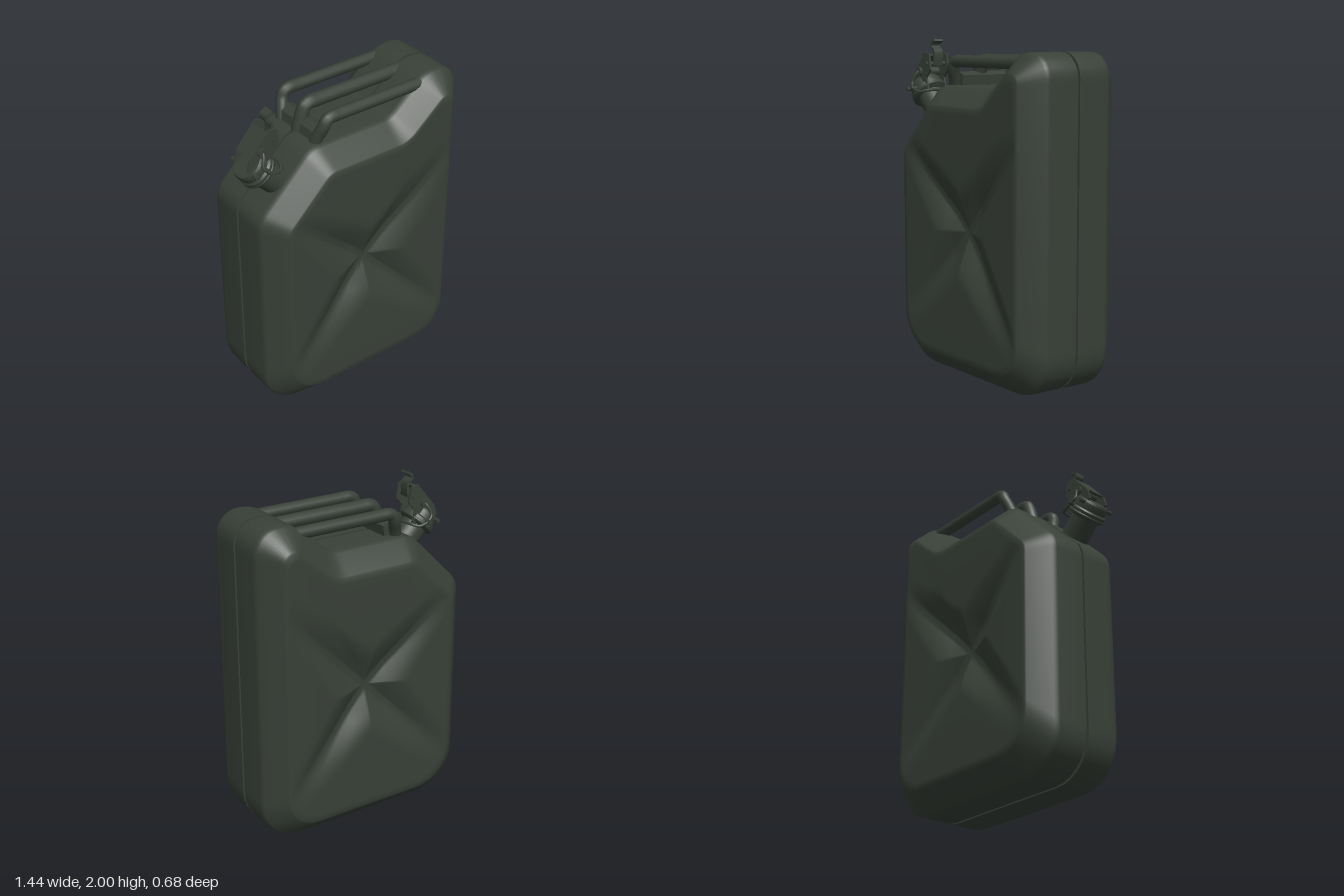
import * as THREE from 'three';
import { toCreasedNormals } from 'three/addons/utils/BufferGeometryUtils.js';

const V2 = (x, y) => new THREE.Vector2(x, y);
const V3 = (x, y, z) => new THREE.Vector3(x, y, z);

// Side outline corners, counter-clockwise: x, y, outer radius, inset radius
const CORNERS = [
  [-0.66, 0, 0.25, 0.24], [0.72, 0, 0.25, 0.2], [0.72, 1.935, 0.14, 0.05], [0.48, 1.935, 0.2, 0.05],
  [0.24, 1.73, 0.1, 0.2], [-0.31, 1.73, 0.15, 0.1], [-0.66, 1.38, 0.15, 0.1],
];
const INSET = 0.12, HALF = 0.34;
const CENTRE = V2(0.033, 0.88);
const ARMS = [[-0.5, 1.38], [0.5, 1.34], [-0.5, 0.33], [0.56, 0.33]]
  .map(([x, y]) => V2(x, y).sub(CENTRE).normalize());

// Move every edge inwards and return the new corners
function insetCorners(points, amount) {
  const n = points.length;
  return points.map((p, i) => {
    const a = p.clone().sub(points[(i + n - 1) % n]).normalize();
    const b = points[(i + 1) % n].clone().sub(p).normalize();
    const na = V2(-a.y, a.x), nb = V2(-b.y, b.x);
    return p.clone().addScaledVector(na.clone().add(nb), amount / (1 + na.dot(nb)));
  });
}

// Rounded polygon with a fixed number of points per corner and edge
function roundedLoop(points, radii, counts) {
  const n = points.length, arc = 7;
  const corners = points.map((p, i) => {
    const toPrev = points[(i + n - 1) % n].clone().sub(p).normalize();
    const toNext = points[(i + 1) % n].clone().sub(p).normalize();
    const half = Math.acos(toPrev.dot(toNext)) / 2;
    const cut = radii[i] / Math.tan(half);
    const start = p.clone().addScaledVector(toPrev, cut);
    const end = p.clone().addScaledVector(toNext, cut);
    const mid = toPrev.add(toNext).normalize();
    const o = p.clone().addScaledVector(mid, radii[i] / Math.sin(half));
    const s = start.clone().sub(o), e = end.clone().sub(o), sweep = Math.PI - 2 * half;
    return Array.from({ length: arc + 1 }, (_, k) => {
      const f = k / arc;
      return o.clone()
        .addScaledVector(s, Math.sin((1 - f) * sweep) / Math.sin(sweep))
        .addScaledVector(e, Math.sin(f * sweep) / Math.sin(sweep));
    });
  });
  const out = [];
  corners.forEach((c, i) => {
    out.push(...c);
    const next = corners[(i + 1) % n][0];
    for (let k = 1; k < counts[i]; k++) out.push(c[arc].clone().lerp(next, k / counts[i]));
  });
  return out;
}

// Height of the pressed face: four bulging panels parted by a diagonal cross of soft grooves
function faceHeight(p, t) {
  const q = p.clone().sub(CENTRE);
  let d = q.length();
  for (const a of ARMS) if (q.dot(a) > 0) d = Math.min(d, Math.abs(q.cross(a)));
  const wall = Math.min(1, Math.max(0, d - 0.02) / (0.07 + 0.14 * t));
  const groove = 0.07 * Math.min(1, 1.3 * t) * Math.pow(1 - wall, 1.5);
  return HALF - 0.02 * t * t - groove;
}

function bodyGeometry() {
  const pts = CORNERS.map(([x, y]) => V2(x, y));
  const counts = pts.map((p, i) => Math.max(2, Math.ceil(p.distanceTo(pts[(i + 1) % pts.length]) / 0.035)));
  const outer = roundedLoop(pts, CORNERS.map(c => c[2]), counts);
  const inner = roundedLoop(insetCorners(pts, INSET), CORNERS.map(c => c[3]), counts);

  // Rings of the front half, from the middle of the face to the seam
  const rings = [], steps = 26;
  for (let i = 0; i <= steps; i++) {
    const t = 1 - Math.pow(i / steps, 1.3);
    rings.push(inner.map(p => {
      const q = p.clone().lerp(CENTRE, t);
      return V3(q.x, q.y, faceHeight(q, t));
    }));
  }
  const sides = [[0.93, 0.333], [0.1, 0.228], [0.03, 0.216], [0, 0.195], [0, 0.009], [0.13, 0.009]];
  for (const [f, z] of sides) {
    rings.push(outer.map((p, j) => {
      const q = p.clone().lerp(inner[j], f);
      return V3(q.x, q.y, z);
    }));
  }
  // Mirrored back half
  for (const r of [...rings].reverse()) rings.push(r.map(p => V3(p.x, p.y, -p.z)));

  const n = outer.length, index = [];
  for (let i = 0; i < rings.length - 1; i++) {
    for (let j = 0; j < n; j++) {
      const a = i * n + j, b = i * n + (j + 1) % n, c = a + n, d = b + n;
      index.push(a, c, b, b, c, d);
    }
  }
  const geo = new THREE.BufferGeometry().setFromPoints(rings.flat());
  geo.setIndex(index);
  return toCreasedNormals(geo, 1.0);
}

export function createModel() {
  const model = new THREE.Group();
  model.name = 'fuelCan';
  const paint = new THREE.MeshStandardMaterial({ color: 0x384037 });
  paint.name = 'dark olive paint';

  const add = (parent, name, geo) => {
    const mesh = new THREE.Mesh(geo, paint);
    mesh.name = name;
    parent.add(mesh);
    return mesh;
  };
  const tube = (parent, name, points, radius, closed = false, sides = 12) => {
    const curve = new THREE.CatmullRomCurve3(points.map(p => V3(...p)), closed, 'centripetal');
    return add(parent, name, new THREE.TubeGeometry(curve, points.length * 8, radius, sides, closed));
  };

  add(model, 'body', bodyGeometry());

  // Three carrying bars, the outer two turning inwards at the foot
  const handles = new THREE.Group();
  handles.name = 'handles';
  model.add(handles);
  for (const [z, foot, r] of [[-0.2, -0.15, 0.036], [0, 0, 0.041], [0.2, 0.15, 0.036]]) {
    const mid = (z + foot) / 2;
    tube(handles, 'handleBar', [
      [0.53, 1.873, z], [0.2, 1.873, z], [-0.1, 1.873, z], [-0.16, 1.873, z], [-0.188, 1.862, z],
      [-0.205, 1.83, z * 0.97 + foot * 0.03], [-0.225, 1.77, mid], [-0.245, 1.69, foot],
    ], r);
  }
  // Sloping foot that joins the bars
  const foot = new THREE.Shape([[-0.265, 1.7], [-0.165, 1.7], [-0.155, 1.79], [-0.2, 1.81], [-0.245, 1.78]]
    .map(p => V2(...p)));
  add(handles, 'handleFoot', new THREE.ExtrudeGeometry(foot, { depth: 0.32, bevelEnabled: false })).position.z = -0.16;

  // Spout: local y runs along the neck, local x up along the latch
  const spout = new THREE.Group();
  spout.name = 'spout';
  spout.position.set(-0.484, 1.556, 0.112);
  spout.rotation.z = Math.PI / 4;
  model.add(spout);
  const profile = [[0.084, -0.08], [0.084, 0.13], [0.1, 0.135], [0.112, 0.145], [0.112, 0.175],
    [0.1, 0.185], [0.1, 0.225], [0.09, 0.24], [0, 0.242]].map(p => V2(...p));
  add(spout, 'neckAndCap', toCreasedNormals(new THREE.LatheGeometry(profile, 32), 0.6));
  const rim = add(spout, 'collarRing', new THREE.TorusGeometry(0.106, 0.01, 8, 32));
  rim.rotation.x = Math.PI / 2;
  rim.position.y = 0.15;

  // Latch: two cheek plates, a bridge, pins, a wire bail and the thumb hook
  const latch = new THREE.Group();
  latch.name = 'latch';
  latch.position.z = 0.112;
  model.add(latch);
  const cheek = new THREE.Shape([[-0.695, 1.71], [-0.675, 1.775], [-0.55, 1.92], [-0.5, 1.91], [-0.485, 1.815],
    [-0.53, 1.765], [-0.51, 1.69], [-0.535, 1.675], [-0.58, 1.72], [-0.62, 1.68]].map(p => V2(...p)));
  for (const z of [-0.07, 0.058]) {
    const geo = new THREE.ExtrudeGeometry(cheek, { depth: 0.012, bevelEnabled: false });
    add(latch, 'cheekPlate', geo).position.z = z;
  }
  const bridge = add(latch, 'bridgePlate', new THREE.BoxGeometry(0.17, 0.016, 0.13));
  bridge.position.set(-0.612, 1.838, 0);
  bridge.rotation.z = 0.86;
  for (const [x, y, r, len] of [[-0.6, 1.8, 0.028, 0.17], [-0.665, 1.69, 0.013, 0.25],
    [-0.59, 1.7, 0.012, 0.29], [-0.52, 1.85, 0.013, 0.16]]) {
    const pin = add(latch, 'pin', new THREE.CylinderGeometry(r, r, len, 16));
    pin.rotation.x = Math.PI / 2;
    pin.position.set(x, y, 0);
  }
  tube(latch, 'wireBail', [
    [-0.59, 1.7, -0.125], [-0.53, 1.68, -0.12], [-0.49, 1.69, -0.08], [-0.49, 1.69, 0.08],
    [-0.53, 1.68, 0.12], [-0.59, 1.7, 0.125], [-0.62, 1.73, 0.115], [-0.6, 1.8, 0.08],
    [-0.6, 1.8, -0.08], [-0.62, 1.73, -0.115],
  ], 0.009, true, 8);

  // Curled strip of constant thickness
  const path = new THREE.CatmullRomCurve3([[-0.51, 1.84], [-0.502, 1.9], [-0.508, 1.93], [-0.533, 1.95],
    [-0.533, 1.972], [-0.515, 1.984], [-0.497, 1.994]].map(([x, y]) => V3(x, y, 0)));
  const left = [], right = [];
  for (let i = 0; i <= 24; i++) {
    const p = path.getPoint(i / 24), d = path.getTangent(i / 24);
    left.push(V2(p.x - d.y * 0.008, p.y + d.x * 0.008));
    right.unshift(V2(p.x + d.y * 0.008, p.y - d.x * 0.008));
  }
  const hook = new THREE.ExtrudeGeometry(new THREE.Shape([...left, ...right]), { depth: 0.062, bevelEnabled: false });
  add(latch, 'thumbHook', toCreasedNormals(hook, 0.7)).position.z = -0.031;

  return model;
}
